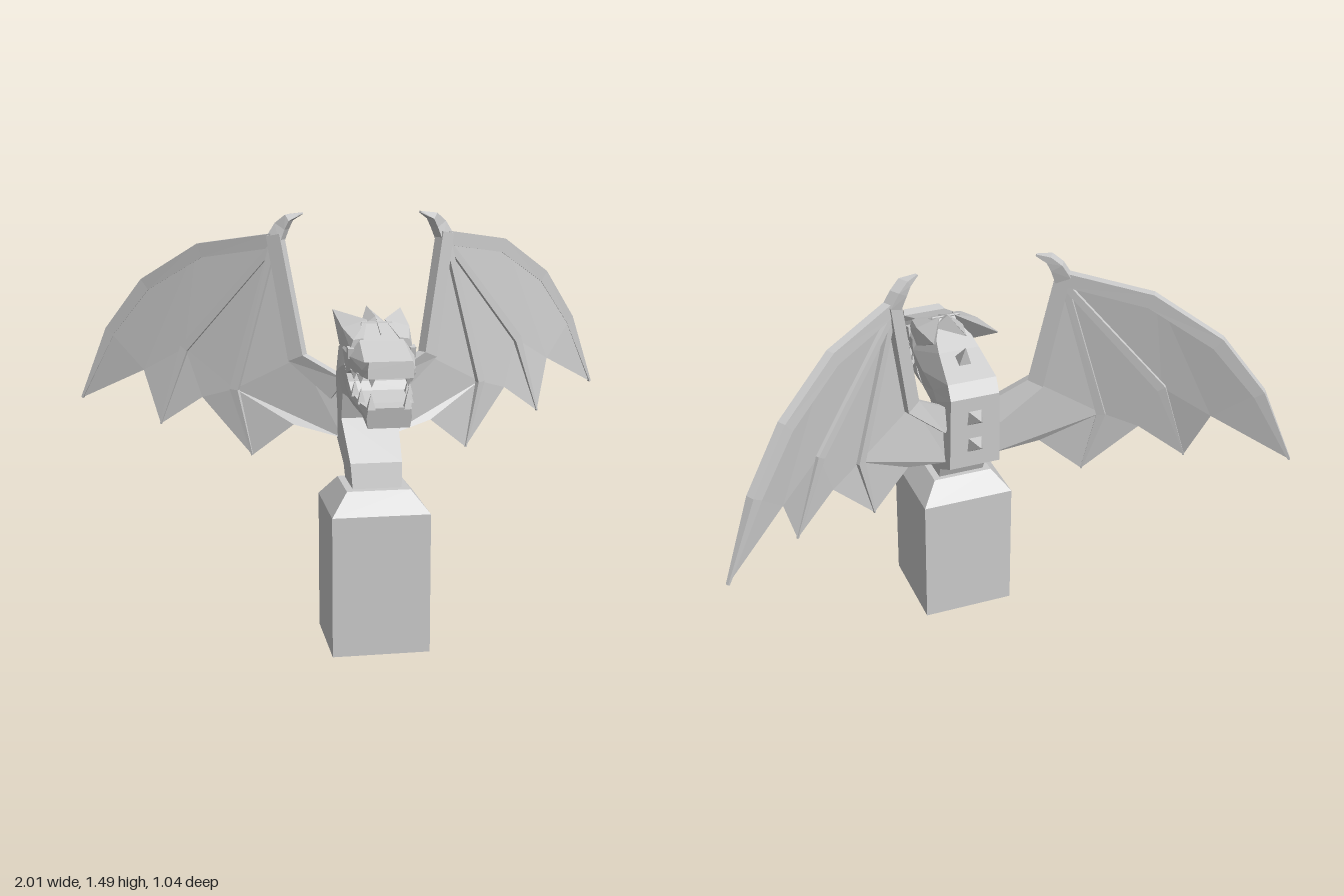
import * as THREE from 'three';

const mat = new THREE.MeshStandardMaterial({ color: 0xcccccc, flatShading: true });
const thin = new THREE.MeshStandardMaterial({ color: 0xcccccc, flatShading: true, side: THREE.DoubleSide });

// Mesh from loose triangles
function triMesh(name, tris, material) {
  const geo = new THREE.BufferGeometry();
  geo.setAttribute('position', new THREE.Float32BufferAttribute(tris.flat(2), 3));
  geo.computeVertexNormals();
  const mesh = new THREE.Mesh(geo, material);
  mesh.name = name;
  return mesh;
}

// Closed loft through rings with equal corner counts, turned outward by its signed volume
function loft(name, rings) {
  const tris = [], n = rings[0].length, last = rings.length - 1;
  for (let i = 0; i < last; i++) for (let j = 0; j < n; j++) {
    const k = (j + 1) % n, a = rings[i], b = rings[i + 1];
    tris.push([a[j], a[k], b[k]], [a[j], b[k], b[j]]);
  }
  for (let j = 1; j < n - 1; j++) {
    tris.push([rings[0][0], rings[0][j + 1], rings[0][j]]);
    tris.push([rings[last][0], rings[last][j], rings[last][j + 1]]);
  }
  const v = tris.map(t => t.map(p => new THREE.Vector3(...p)));
  const volume = v.reduce((s, [a, b, c]) => s + a.dot(b.clone().cross(c)), 0);
  return triMesh(name, volume < 0 ? tris.map(([a, b, c]) => [a, c, b]) : tris, mat);
}

// Symmetric six-corner ring: top (z, y, half width), bottom (z, y, half width), middle half width
function ring([tz, ty, tw, bz, by, bw, mw]) {
  const mz = (tz + bz) / 2, my = (ty + by) / 2;
  return [[tw, ty, tz], [mw, my, mz], [bw, by, bz], [-bw, by, bz], [-mw, my, mz], [-tw, ty, tz]];
}

// Tapering flat bar along a path of [x, y, z, half width]
function bar(name, path, depth, side) {
  const normal = new THREE.Vector3(0.5, 0, 0.86);
  const pts = path.map(p => new THREE.Vector3(p[0], p[1], p[2]));
  return loft(name, pts.map((p, i) => {
    const t = pts[Math.min(i + 1, pts.length - 1)].clone().sub(pts[Math.max(i - 1, 0)]).normalize();
    const s = t.cross(normal).normalize(), w = path[i][3], d = depth * Math.min(1, w / 0.012);
    return [[1, 1], [1, -1], [-1, -1], [-1, 1]].map(([a, b]) => {
      const q = p.clone().addScaledVector(s, a * w).addScaledVector(normal, b * d);
      return [q.x * side, q.y, q.z];
    });
  }));
}

// Four-sided spike from its base centre to its tip
function spike(name, base, tip, radius, sides = 4) {
  const a = new THREE.Vector3(...base), dir = new THREE.Vector3(...tip).sub(a);
  const geo = new THREE.ConeGeometry(radius, dir.length(), sides);
  geo.rotateY(Math.PI / 4);
  geo.translate(0, dir.length() / 2, 0);
  const mesh = new THREE.Mesh(geo, mat);
  mesh.quaternion.setFromUnitVectors(new THREE.Vector3(0, 1, 0), dir.normalize());
  mesh.position.copy(a);
  mesh.name = name;
  return mesh;
}

function createWing(side) {
  const wing = new THREE.Group();
  wing.name = side > 0 ? 'leftWing' : 'rightWing';
  const wrist = [0.31, 1.40, -0.085];
  const lead = [[0.57, 1.365, -0.25], [0.77, 1.225, -0.38], [0.9, 1.035, -0.46], [1, 0.765, -0.515]];
  const outer = [[0.62, 0.99, -0.25], [0.715, 0.705, -0.275]];
  const inner = [[0.45, 0.855, -0.13], [0.395, 0.615, -0.1]];
  const elbow = [0.225, 0.98, -0.035], root = [0.09, 0.87, 0], low = [0.08, 0.69, 0];

  // Skin panels between the fingers
  const panels = [
    [wrist, ...lead, [0.77, 0.895, -0.345], outer[1], outer[0]],
    [wrist, ...outer, [0.565, 0.815, -0.2], inner[1], inner[0]],
    [wrist, ...inner, [0.25, 0.735, -0.045], low, root, elbow],
  ];
  const tris = [];
  for (const panel of panels) {
    const flat = panel.map(p => new THREE.Vector2(p[0], p[1]));
    for (const f of THREE.ShapeUtils.triangulateShape(flat, []))
      tris.push(f.map(i => [panel[i][0] * side, panel[i][1], panel[i][2]]));
  }
  wing.add(triMesh('membrane', tris, thin));

  // Bones: leading edge set slightly inside the outline, two fingers, arm and claw
  const w = (p, r, dx = 0, dy = 0) => [p[0] + dx, p[1] + dy, p[2], r];
  wing.add(bar('leadingEdge', [w(wrist, 0.025, 0, -0.01), w(lead[0], 0.026, -0.015, -0.022),
    w(lead[1], 0.024, -0.02, -0.016), w(lead[2], 0.02, -0.018, -0.008), w(lead[3], 0.004)], 0.016, side));
  for (const [a, b] of [outer, inner])
    wing.add(bar('finger', [w(wrist, 0.012, 0, -0.03), w(a, 0.016), w(b, 0.003)], 0.015, side));
  wing.add(bar('arm', [w(root, 0.045), w(elbow, 0.03, 0.01), w(wrist, 0.026, -0.005, 0.01)], 0.02, side));
  wing.add(bar('claw', [[0.305, 1.39, -0.085, 0.028], [0.28, 1.44, -0.085, 0.022],
    [0.255, 1.47, -0.075, 0.013], [0.21, 1.485, -0.065, 0.003]], 0.02, side));
  return wing;
}

export function createModel() {
  const model = new THREE.Group();
  model.name = 'wingedBust';

  // Pedestal with a bevelled top
  const square = (h, y) => [[h, y, 0.185 + h], [h, y, 0.185 - h], [-h, y, 0.185 - h], [-h, y, 0.185 + h]];
  model.add(loft('pedestal', [square(0.17, 0), square(0.17, 0.495), square(0.11, 0.57)]));

  // Neck, chest and skull in one bent column
  model.add(loft('neckAndSkull', [
    [0.095, 0.565, 0.085, 0.265, 0.565, 0.085, 0.085],
    [0.075, 0.615, 0.088, 0.245, 0.655, 0.09, 0.09],
    [-0.05, 0.69, 0.095, 0.105, 0.785, 0.1, 0.1],
    [-0.05, 0.97, 0.09, 0.135, 0.88, 0.1, 0.11],
    [-0.02, 1.02, 0.09, 0.17, 0.885, 0.1, 0.11],
    [0.11, 1.075, 0.075, 0.235, 0.885, 0.095, 0.115],
    [0.25, 1.145, 0.05, 0.31, 0.875, 0.09, 0.115],
  ].map(ring)));

  // Jaws
  model.add(loft('upperJaw', [
    [0.24, 1.145, 0.05, 0.29, 0.98, 0.11, 0.12],
    [0.35, 1.095, 0.075, 0.34, 1, 0.105, 0.11],
    [0.475, 1.048, 0.08, 0.47, 1, 0.085, 0.088],
    [0.51, 1.055, 0.07, 0.515, 1, 0.075, 0.075],
  ].map(ring)));
  model.add(loft('lowerJaw', [
    [0.28, 0.965, 0.105, 0.235, 0.885, 0.095, 0.105],
    [0.32, 0.925, 0.1, 0.31, 0.875, 0.09, 0.1],
    [0.43, 0.905, 0.085, 0.43, 0.865, 0.08, 0.085],
    [0.495, 0.9, 0.07, 0.48, 0.83, 0.07, 0.075],
  ].map(ring)));

  // Central crest
  model.add(loft('crest', [
    [[0, 1.115, 0.32], [0, 1.1, 0.32], [0, 1.1, 0.32]],
    [[0, 1.16, 0.22], [0.055, 1.12, 0.22], [-0.055, 1.12, 0.22]],
    [[0, 1.17, 0.035], [0, 1.168, 0.035], [0, 1.168, 0.035]],
  ]));

  for (const s of [1, -1]) {
    // Swept horn growing out of the brow
    const horn = [
      [[0.095, 1.1, 0.34], [0.06, 1.105, 0.34], [0.06, 1.07, 0.34], [0.105, 1.07, 0.34]],
      [[0.115, 1.125, 0.23], [0.03, 1.15, 0.23], [0.05, 1.06, 0.2], [0.122, 1.065, 0.21]],
      [[0.12, 1.16, 0.04], [0.118, 1.16, 0.04], [0.118, 1.157, 0.04], [0.12, 1.157, 0.04]],
    ];
    model.add(loft('horn', horn.map(r => r.map(([x, y, z]) => [x * s, y, z]))));

    // Eye
    const eye = new THREE.Mesh(new THREE.BoxGeometry(0.02, 0.035, 0.032), mat);
    eye.position.set(s * 0.104, 1.058, 0.338);
    eye.rotation.x = 0.15;
    eye.name = 'eye';
    model.add(eye);

    // Teeth
    for (const [x, z] of [[0.06, 0.5], [0.085, 0.43], [0.095, 0.355]])
      model.add(spike('upperTooth', [s * x, 1.005, z], [s * x, 0.97, z], 0.017));
    for (const [x, z, y] of [[0.06, 0.485, 0.895], [0.08, 0.41, 0.9], [0.09, 0.345, 0.915]])
      model.add(spike('lowerTooth', [s * x, y, z], [s * x, y + 0.055, z + 0.002], 0.019));

    model.add(createWing(s));
  }

  // Spikes down the back
  model.add(spike('neckSpike', [0, 1.04, 0.075], [0, 1.12, 0.04], 0.04));
  for (const [y, z] of [[0.99, -0.03], [0.89, -0.05], [0.78, -0.05]])
    if (y < 0.95) model.add(spike('backSpike', [0, y, z + 0.005], [0, y + 0.015, -0.11], 0.04));
  return model;
}
